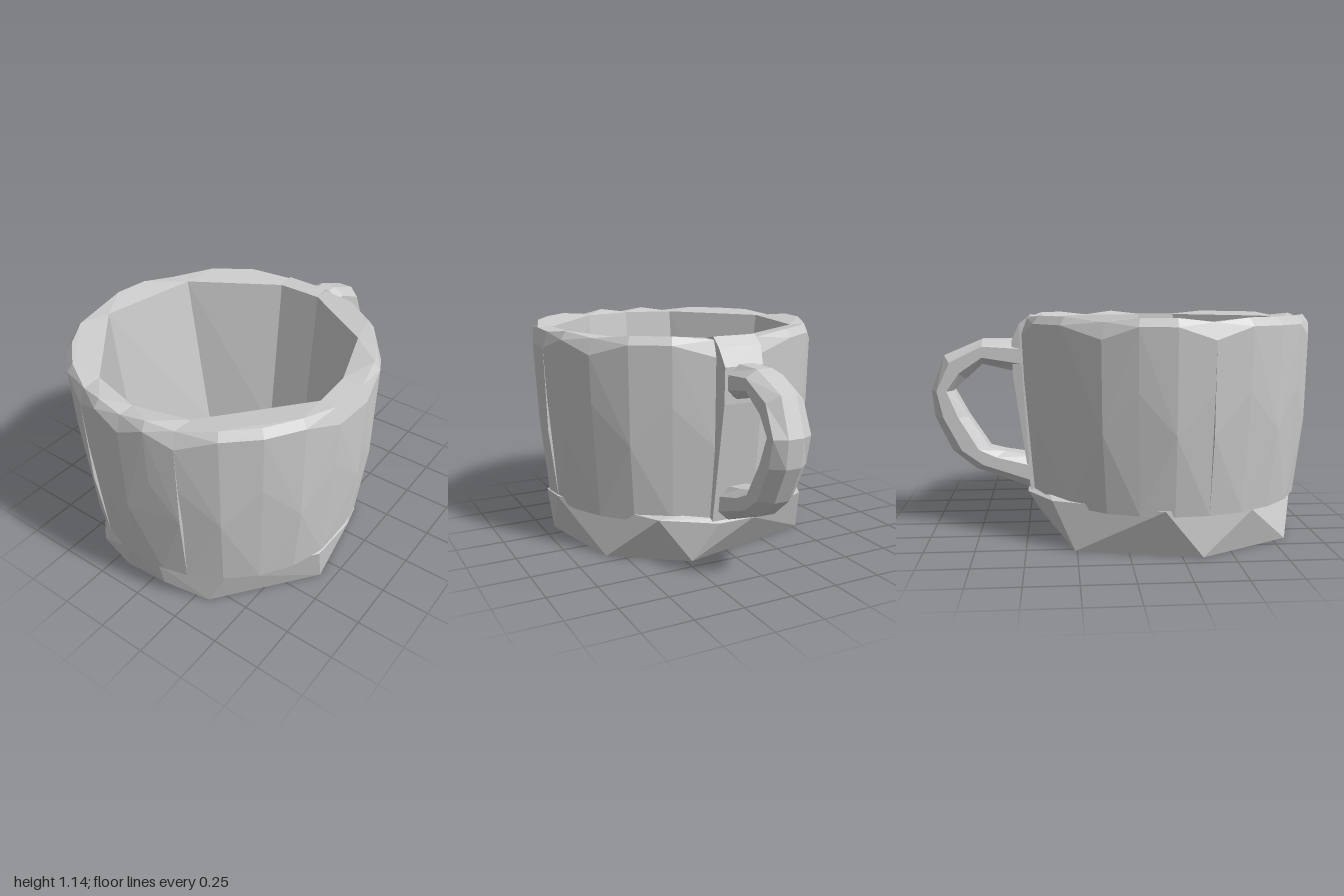
import * as THREE from 'three';
import { ConvexGeometry } from 'three/addons/geometries/ConvexGeometry.js';

const material = new THREE.MeshStandardMaterial({ color: 0xcccccc, flatShading: true });
const CENTRE_Z = 0.236;

function part(name, geometry) {
  const mesh = new THREE.Mesh(geometry, material);
  mesh.name = name;
  return mesh;
}

const hull = (pts) => new ConvexGeometry(pts.map((p) => new THREE.Vector3(...p)));

// Skin a list of closed rings (arrays of [x, y, z]) with flat facets
function loft(rings) {
  const n = rings[0].length, pos = [];
  for (let i = 0; i < rings.length - 1; i++) {
    for (let j = 0; j < n; j++) {
      const k = (j + 1) % n;
      const a = rings[i][j], b = rings[i][k], c = rings[i + 1][k], d = rings[i + 1][j];
      for (const p of [a, d, c, a, c, b]) pos.push(...p);
    }
  }
  const g = new THREE.BufferGeometry();
  g.setAttribute('position', new THREE.Float32BufferAttribute(pos, 3));
  g.computeVertexNormals();
  return g;
}

// Ten-sided opening: [rim x, rim z, floor x, floor z, seam runs along z]
const corners = [
  [0.63, 0.17, 0.54, 0.17, false], [0.64, 0.38, 0.53, 0.38, false],
  [0.27, 0.82, 0.27, 0.72, true], [0, 0.89, 0, 0.79, true], [-0.27, 0.82, -0.27, 0.72, true],
  [-0.64, 0.38, -0.54, 0.38, false], [-0.54, -0.13, -0.42, -0.13, false],
  [-0.1, -0.4, -0.1, -0.31, true], [0.13, -0.4, 0.13, -0.31, true], [0.51, -0.17, 0.4, -0.17, false],
];
const MOUNT = 7; // side that carries the handle

// Angle at which the seam through a corner meets the round outside
function seamAngle([x, z, , , alongZ]) {
  const r = 0.75, dz = z - CENTRE_Z;
  return alongZ
    ? Math.atan2(Math.sign(dz) * Math.sqrt(r * r - x * x), x)
    : Math.atan2(dz, Math.sign(x) * Math.sqrt(r * r - dz * dz));
}

// One wall panel: a flat inside face and a rounded, faceted outside
function wallPanel(from, to, index) {
  const pts = [];
  for (const [rx, rz, fx, fz] of [from, to]) pts.push([rx, 1.12, rz], [fx, 0.21, fz]);
  const start = seamAngle(from);
  const span = (seamAngle(to) - start + 2 * Math.PI) % (2 * Math.PI);
  const steps = Math.ceil(span / 0.32);
  for (let s = 0; s <= steps; s++) {
    const a = start + (span * s) / steps;
    const seam = s === 0 || s === steps;
    const odd = (s + index) % 2;
    const add = (r, y) => pts.push([r * Math.cos(a), y, CENTRE_Z + r * Math.sin(a)]);
    add(0.708, 0.21);
    add(0.754, odd ? 0.8 : 0.6);
    add(0.764, seam ? 1.04 : 1.1);
    add(0.735, seam ? 1.12 : 1.14);
  }
  return hull(pts);
}

// Thickened panel behind the handle
function mountPanel() {
  const pts = [];
  for (const x of [-0.1, 0.13]) {
    pts.push([x, 0.21, -0.31], [x, 1.12, -0.4], [x, 1.135, -0.48], [x, 1.09, -0.535],
      [x * 0.9, 1.0, -0.575], [x * 0.9, 0.82, -0.57], [x, 0.21, -0.485]);
  }
  return hull(pts);
}

function createHandle() {
  // Each section: outer [z, y], inner [z, y]
  const sections = [
    [-0.47, 1.01, -0.47, 0.82], [-0.73, 1.01, -0.73, 0.88], [-0.93, 0.925, -0.82, 0.8],
    [-1.0, 0.74, -0.885, 0.74], [-0.985, 0.6, -0.81, 0.6], [-0.9, 0.42, -0.7, 0.43],
    [-0.78, 0.32, -0.62, 0.41], [-0.44, 0.19, -0.44, 0.38],
  ];
  // Chamfered cross-section: [x, fraction from inner (0) to outer (1)]
  const profile = [[-0.04, 1], [-0.1, 0.72], [-0.1, 0.28], [-0.05, 0],
    [0.05, 0], [0.1, 0.28], [0.1, 0.72], [0.04, 1]];
  return loft(sections.map(([oz, oy, iz, iy]) =>
    profile.map(([x, t]) => [x, iy + (oy - iy) * t, iz + (oz - iz) * t])));
}

export function createModel() {
  const mug = new THREE.Group();
  mug.name = 'mug';

  // Faceted foot, with corners staggered between its lower and upper edge
  mug.add(part('foot', hull([
    [0.32, 0, 0.82], [-0.4, 0, 0.82], [0.685, 0, 0.35], [-0.675, 0, 0.35],
    [0.58, 0, -0.18], [-0.53, 0, -0.26], [0.22, 0, -0.44],
    [-0.16, 0.02, 0.89], [0.11, 0.075, 0.91],
    [0.42, 0.21, 0.79], [0.1, 0.21, 0.93], [-0.1, 0.21, 0.93], [-0.6, 0.21, 0.6], [0.7, 0.21, 0.4],
    [0.72, 0.245, 0.16], [-0.715, 0.24, 0.16], [0.4, 0.245, -0.43], [-0.47, 0.24, -0.37],
    [0.1, 0.2, -0.5], [-0.1, 0.2, -0.5],
  ])));

  // Wall of ten panels around the opening
  const wall = new THREE.Group();
  wall.name = 'wall';
  corners.forEach((corner, i) => {
    if (i === MOUNT) wall.add(part('handleMount', mountPanel()));
    else wall.add(part('wallPanel', wallPanel(corner, corners[(i + 1) % corners.length], i)));
  });
  mug.add(wall);

  mug.add(part('handle', createHandle()));
  return mug;
}
